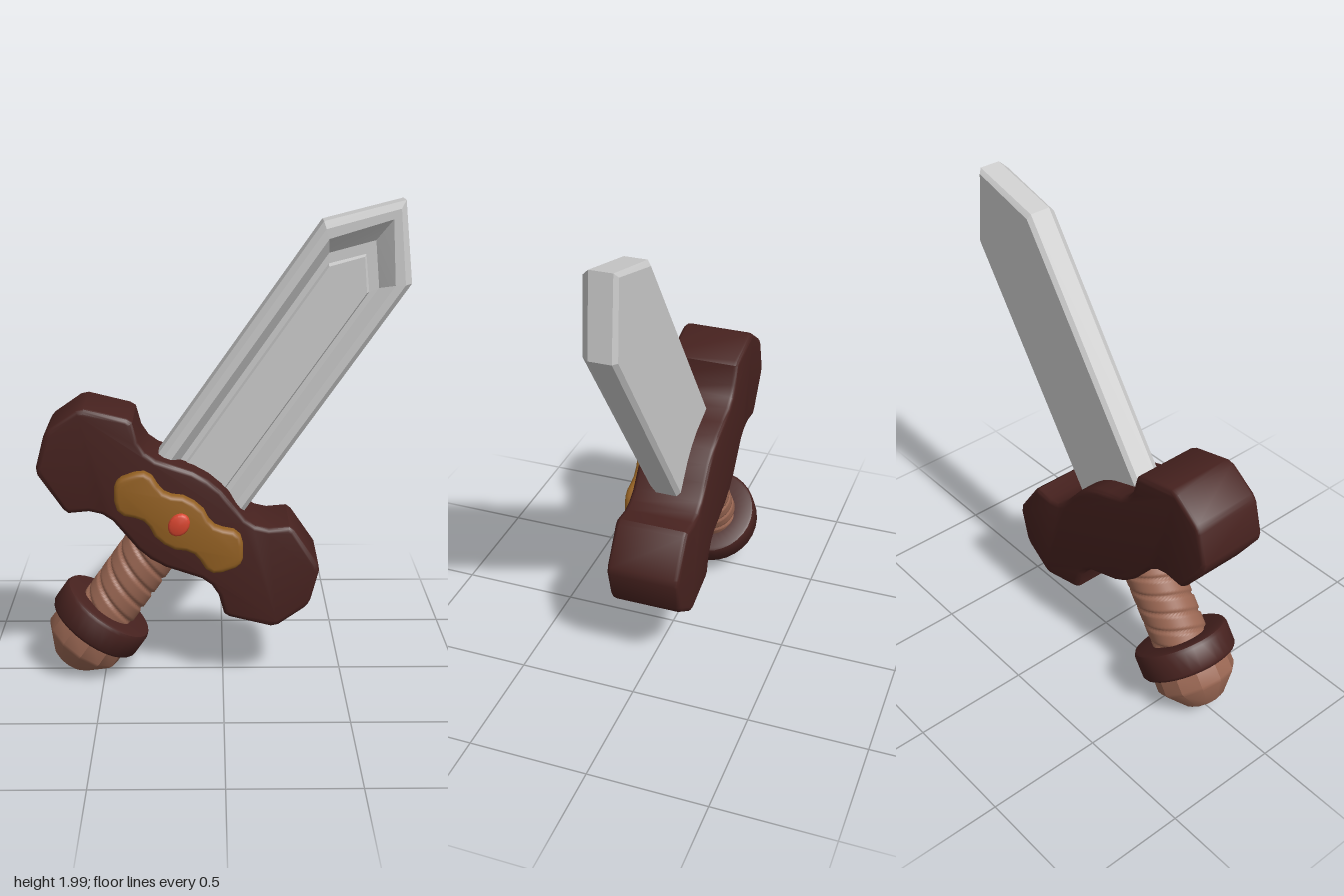
import * as THREE from 'three';
import { mergeVertices, toCreasedNormals } from 'three/addons/utils/BufferGeometryUtils.js';

const paint = (color) => new THREE.MeshStandardMaterial({ color });
const darkWood = paint(0x47221f), leather = paint(0x9a6753), brass = paint(0x936022);
const red = paint(0xd8452f), steel = paint(0xcccccc);

function add(parent, name, geometry, material, z = 0) {
  const mesh = new THREE.Mesh(geometry, material);
  mesh.name = name;
  mesh.position.z = z;
  parent.add(mesh);
  return mesh;
}

// Mirrors a quarter outline (top centre to right end) into a closed shape
function mirroredShape(quarter) {
  const right = quarter.concat(quarter.slice(0, -1).reverse().map(([x, y]) => [x, -y]));
  const left = right.slice(1, -1).reverse().map(([x, y]) => [-x, y]);
  return new THREE.Shape(right.concat(left).map(([x, y]) => new THREE.Vector2(x, y)));
}

// Bevelled slab of the outline between z = back and z = front
function slab(quarter, back, front, bevel, crease) {
  const geometry = new THREE.ExtrudeGeometry(mirroredShape(quarter), {
    depth: front - back - 2 * bevel, bevelThickness: bevel, bevelSize: bevel,
    bevelOffset: -bevel, bevelSegments: 3,
  });
  geometry.translate(0, 0, back + bevel);
  return toCreasedNormals(geometry, crease);
}

function lathe(points, sides, crease) {
  const profile = points.map(([r, y]) => new THREE.Vector2(r, y));
  return toCreasedNormals(new THREE.LatheGeometry(profile, sides), crease);
}

// Nested pointed outlines, from the back face to the raised panel in the groove
function bladeGeometry() {
  const rings = [ // half width, shoulder height, tip height, z
    [0.197, 1.292, 1.53, -0.06],
    [0.214, 1.304, 1.552, -0.045],
    [0.214, 1.304, 1.552, 0.045],
    [0.192, 1.286, 1.515, 0.075],
    [0.16, 1.262, 1.465, 0.075],
    [0.122, 1.215, 1.36, 0.025],
    [0.099, 1.18, 1.295, 0.025],
    [0.092, 1.172, 1.283, 0.04],
  ];
  const positions = [], index = [];
  for (const [w, shoulder, tip, z] of rings) {
    positions.push(-w, 0, z, w, 0, z, w, shoulder, z, 0, tip, z, -w, shoulder, z);
  }
  for (let r = 0; r < rings.length - 1; r++) {
    for (let i = 0; i < 5; i++) {
      const a = r * 5 + i, b = r * 5 + (i + 1) % 5;
      index.push(a, b, b + 5, a, b + 5, a + 5);
    }
  }
  const last = (rings.length - 1) * 5;
  for (let i = 1; i < 4; i++) {
    index.push(0, i + 1, i, last, last + i, last + i + 1);
  }
  const geometry = new THREE.BufferGeometry();
  geometry.setAttribute('position', new THREE.Float32BufferAttribute(positions, 3));
  geometry.setIndex(index);
  return toCreasedNormals(geometry, 0.4);
}

// Cylinder cut by three parallel spiral grooves
function gripGeometry() {
  let geometry = new THREE.CylinderGeometry(1, 1, 0.5, 48, 96, true);
  geometry.translate(0, -0.35, 0);
  const p = geometry.attributes.position;
  for (let i = 0; i < p.count; i++) {
    const x = p.getX(i), y = p.getY(i), z = p.getZ(i);
    const turn = y / 0.08 + 3 * Math.atan2(x, z) / (2 * Math.PI);
    const t = turn - Math.floor(turn);
    const edge = Math.min(t, 1 - t);
    const radius = 0.106 + 0.014 * Math.min(1, edge / 0.13);
    p.setXYZ(i, x * radius, y, z * radius);
  }
  geometry.deleteAttribute('uv');
  geometry.deleteAttribute('normal');
  geometry = mergeVertices(geometry);
  geometry.computeVertexNormals();
  return geometry;
}

export function createModel() {
  const model = new THREE.Group();
  model.name = 'sword';

  // Upright sword with its origin at the guard, then tilted
  const sword = new THREE.Group();
  sword.name = 'tiltedSword';
  sword.position.set(-0.178, 0.73, 0);
  sword.rotation.z = -THREE.MathUtils.degToRad(34.9);
  model.add(sword);

  add(sword, 'blade', bladeGeometry(), steel);

  // Crossguard with flared faceted ends
  add(sword, 'guard', slab([
    [0, 0.207], [0.07, 0.2], [0.14, 0.18], [0.22, 0.157], [0.27, 0.158], [0.32, 0.178],
    [0.384, 0.232], [0.41, 0.231], [0.575, 0.168], [0.597, 0.145], [0.643, 0.02], [0.645, 0],
  ], -0.16, 0.15, 0.02, 0.6), darkWood);

  // Wavy plate and stud on the front of the guard
  add(sword, 'guardPlate', slab([
    [0, 0.108], [0.05, 0.102], [0.09, 0.08], [0.125, 0.073], [0.16, 0.082], [0.2, 0.1],
    [0.235, 0.097], [0.265, 0.072], [0.298, 0.025], [0.304, 0],
  ], 0.13, 0.195, 0.018, 1), brass);
  const stud = lathe([
    [0.046, -0.02], [0.046, 0.02], [0.042, 0.029], [0.034, 0.033], [0, 0.034],
  ], 16, 0.7);
  stud.rotateX(Math.PI / 2);
  stud.scale(0.9, 1.1, 1);
  add(sword, 'gem', stud, red, 0.181);

  // Handle
  const handle = new THREE.Group();
  handle.name = 'handle';
  handle.position.z = -0.006;
  sword.add(handle);
  add(handle, 'grip', gripGeometry(), leather);
  add(handle, 'collar', lathe([
    [0.1, -0.65], [0.19, -0.65], [0.2, -0.645], [0.207, -0.633],
    [0.207, -0.543], [0.2, -0.53], [0.19, -0.525], [0.1, -0.53],
  ], 32, 0.6), darkWood);
  add(handle, 'pommel', lathe([
    [0, -0.828], [0.075, -0.826], [0.092, -0.815], [0.165, -0.735],
    [0.172, -0.72], [0.17, -0.64],
  ], 12, 0.45), leather);

  return model;
}
